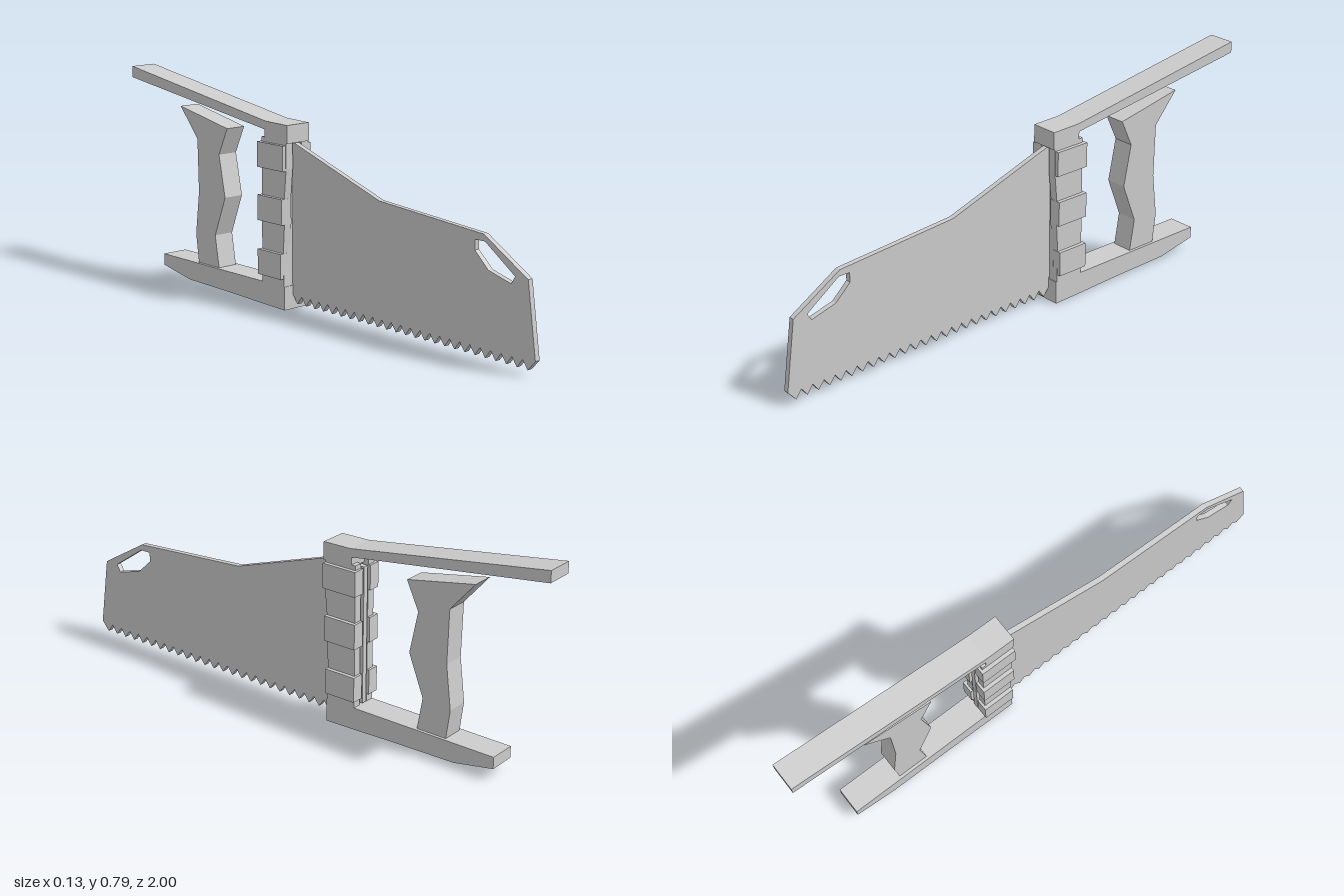
import * as THREE from 'three';

const metal = new THREE.MeshStandardMaterial({ color: 0xcccccc, flatShading: true });
metal.name = 'light grey';

// Extrudes a side profile of [z, y] points across x, centred on x.
function profile(name, points, width, x = 0, hole = null) {
  const toVectors = (list) => list.map(([z, y]) => new THREE.Vector2(z, y));
  const shape = new THREE.Shape(toVectors(points));
  if (hole) shape.holes.push(new THREE.Path(toVectors(hole)));
  const geometry = new THREE.ExtrudeGeometry(shape, { depth: width, bevelEnabled: false });
  geometry.translate(0, 0, -width / 2);
  geometry.rotateY(-Math.PI / 2);
  geometry.translate(x, 0, 0);
  const mesh = new THREE.Mesh(geometry, metal);
  mesh.name = name;
  return mesh;
}

// Rectangular profile between two z and two y values.
const rect = (z0, z1, y0, y1) => [[z0, y0], [z1, y0], [z1, y1], [z0, y1]];

export function createModel() {
  const saw = new THREE.Group();
  saw.name = 'handSaw';

  // Blade outline, ending in a row of teeth along the lower edge
  const outline = [[-0.255, 0.09], [-0.255, 0.595], [-0.12, 0.597], [0.303, 0.457],
    [0.775, 0.423], [0.963, 0.31], [1, 0.055]];
  const teeth = 25, start = 0.992, end = -0.131;
  const pitch = (start - end) / teeth;
  for (let i = 0; i < teeth; i++) {
    const z = start - i * pitch;
    outline.push([z - pitch * 0.5, 0.02], [z - pitch, 0.05]);
  }
  outline.push([-0.131, 0.09]);
  const tipHole = [[0.909, 0.31], [0.78, 0.4], [0.737, 0.4], [0.737, 0.365],
    [0.796, 0.31], [0.893, 0.284]];
  saw.add(profile('blade', outline, 0.02, 0, tipHole));

  // Spine: core with a side cheek on each side, leaving a slot at the back
  saw.add(profile('spineCore', rect(-0.215, -0.135, 0.06, 0.62), 0.06));
  const cheek = [[-0.25, 0.06], [-0.133, 0.06], [-0.137, 0.2], [-0.13, 0.31],
    [-0.13, 0.405], [-0.12, 0.51], [-0.12, 0.61], [-0.25, 0.61]];
  const clampHeights = [[0.113, 0.205], [0.31, 0.402], [0.502, 0.593]];
  for (const side of [-1, 1]) {
    saw.add(profile('spineCheek', cheek, 0.031, side * 0.0355));
    clampHeights.forEach(([y0, y1], i) => {
      const front = -0.136 + i * 0.007;
      saw.add(profile('clamp', rect(-0.259, front, y0, y1), 0.045, side * 0.0425));
    });
  }

  // Upper bar with its block over the spine
  saw.add(profile('upperBar', [[-0.115, 0.6], [-0.115, 0.665], [-0.228, 0.667],
    [-1, 0.785], [-1, 0.743], [-0.233, 0.637], [-0.233, 0.6]], 0.102));

  // Lower bar
  saw.add(profile('lowerBar', [[-0.131, 0], [-0.131, 0.085], [-0.823, 0.085],
    [-0.823, 0.042], [-0.667, 0.013], [-0.41, 0.008], [-0.26, 0.003]], 0.102));

  // Grip standing on the lower bar
  saw.add(profile('grip', [[-0.453, 0.611], [-0.721, 0.663], [-0.625, 0.552],
    [-0.62, 0.354], [-0.64, 0.193], [-0.625, 0.08], [-0.507, 0.08],
    [-0.528, 0.204], [-0.469, 0.354], [-0.501, 0.509]], 0.08));

  return saw;
}
